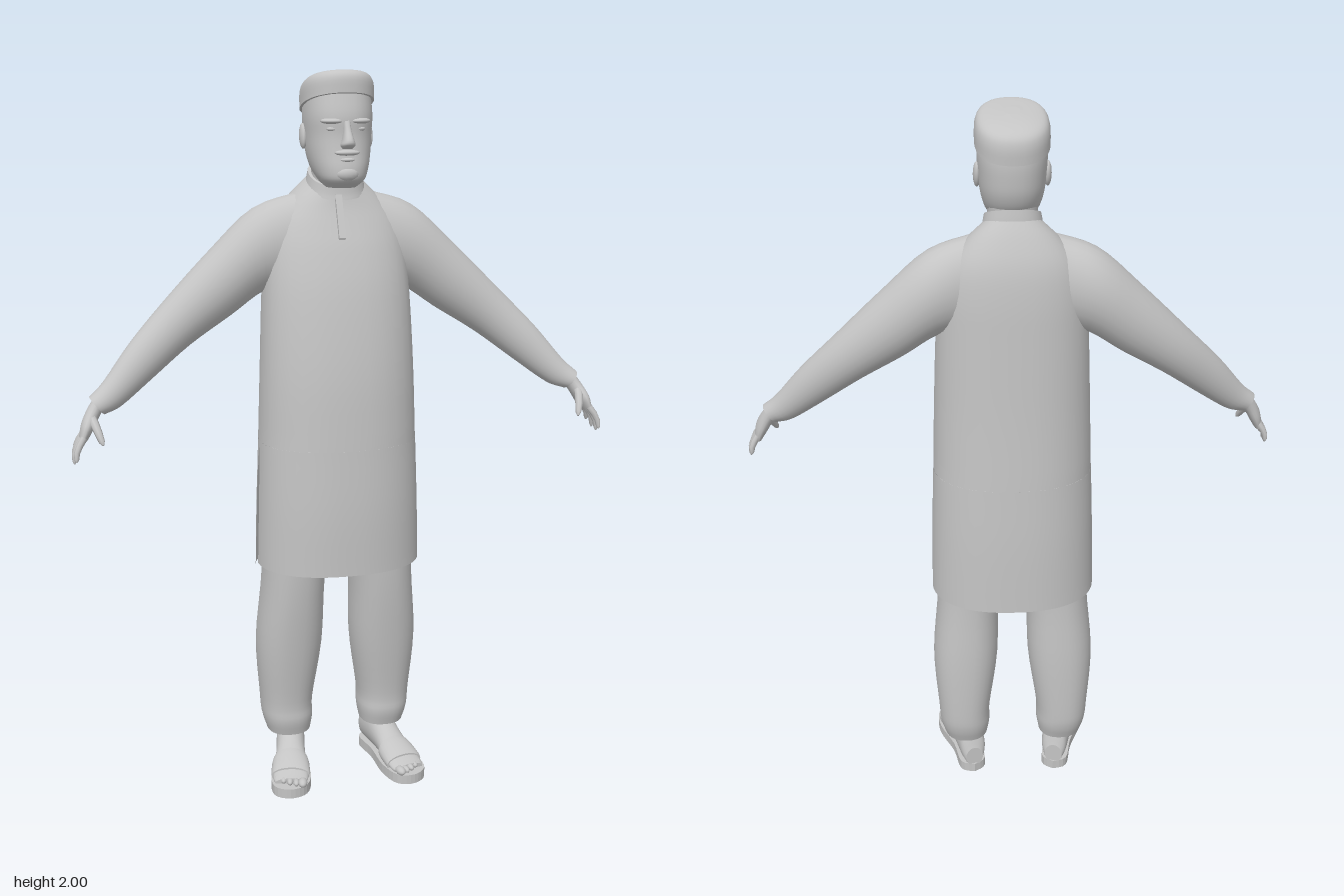
import * as THREE from 'three';

const grey = new THREE.MeshStandardMaterial({ color: 0xc4c4c4, side: THREE.DoubleSide });
grey.name = 'plain grey';

// Horizontal rounded ring; row = [y, centre x, half width, back z, front z, tilt]
function ring([y, cx, w, zb, zf, k = 0], a0 = 0, a1 = Math.PI * 2, count = 32, n = 2.3) {
  const pts = [], zc = (zb + zf) / 2, d = (zf - zb) / 2;
  const pw = v => Math.sign(v) * Math.abs(v) ** (2 / n);
  for (let i = 0; i <= count; i++) {
    const a = a0 + (a1 - a0) * i / count;
    const dz = d * pw(Math.sin(a));
    pts.push(new THREE.Vector3(cx + w * pw(Math.cos(a)), y + k * dz, zc + dz));
  }
  return pts;
}

// Smoothly resample rows of numbers
function smooth(rows, steps = 4) {
  const size = rows[0].length;
  const curve = new THREE.CubicInterpolant(rows.map((_, i) => i), rows.flat(), size, new Array(size));
  const out = [];
  for (let i = 0; i <= (rows.length - 1) * steps; i++) out.push([...curve.evaluate(i / steps)]);
  return out;
}

// Skin a list of rings, with flat end caps unless open; faces are turned outward
function loft(rings, caps = true) {
  const pos = [], idx = [], m = rings[0].length;
  rings.forEach(r => r.forEach(p => pos.push(p.x, p.y, p.z)));
  for (let j = 0; j < rings.length - 1; j++)
    for (let i = 0; i < m - 1; i++) {
      const a = j * m + i, b = a + m;
      idx.push(a, b, a + 1, a + 1, b, b + 1);
    }
  if (caps) [rings[0], rings[rings.length - 1]].forEach((r, e) => {
    const c = new THREE.Vector3(), base = pos.length / 3;
    r.slice(1).forEach(p => c.addScaledVector(p, 1 / (m - 1)));
    [c, ...r].forEach(p => pos.push(p.x, p.y, p.z));
    for (let i = 1; i < m; i++) idx.push(base, base + (e ? i + 1 : i), base + (e ? i : i + 1));
  });
  const at = i => new THREE.Vector3().fromArray(pos, i * 3);
  let volume = 0;
  for (let i = 0; i < idx.length; i += 3) volume += at(idx[i]).dot(at(idx[i + 1]).cross(at(idx[i + 2])));
  if (volume < 0) idx.reverse();
  const g = new THREE.BufferGeometry();
  g.setAttribute('position', new THREE.Float32BufferAttribute(pos, 3));
  g.setIndex(idx);
  g.computeVertexNormals();
  // Weld the shading across the ring seam
  const nor = g.attributes.normal;
  if (caps) for (let j = 0; j < rings.length; j++) {
    const a = j * m, b = a + m - 1;
    const v = new THREE.Vector3().fromBufferAttribute(nor, a)
      .add(new THREE.Vector3().fromBufferAttribute(nor, b)).normalize();
    nor.setXYZ(a, v.x, v.y, v.z);
    nor.setXYZ(b, v.x, v.y, v.z);
  }
  return g;
}

function add(parent, name, geometry) {
  const mesh = new THREE.Mesh(geometry, grey);
  mesh.name = name;
  parent.add(mesh);
  return mesh;
}

const body = (parent, name, rows, steps) => add(parent, name, loft(smooth(rows, steps).map(r => ring(r))));

function blob(parent, name, p, s) {
  const mesh = add(parent, name, new THREE.SphereGeometry(1, 14, 10));
  mesh.position.set(...p);
  mesh.scale.set(...s);
  return mesh;
}

// Ring spanned by two half axes about a centre
function oval(c, u, v, count = 24) {
  return Array.from({ length: count + 1 }, (_, i) => {
    const a = i / count * Math.PI * 2;
    return c.clone().addScaledVector(u, Math.cos(a)).addScaledVector(v, Math.sin(a));
  });
}

// Tapered finger through three points
function finger(parent, name, pts, r) {
  const curve = new THREE.CatmullRomCurve3(pts.map(p => new THREE.Vector3(...p)));
  const rings = [0, 0.3, 0.6, 0.88, 1].map((t, i) => {
    const q = r * [1, 0.95, 0.85, 0.65, 0.2][i], tan = curve.getTangent(t);
    const u = new THREE.Vector3(0, 0, 1).cross(tan).normalize();
    return oval(curve.getPoint(t), u.clone().multiplyScalar(q), tan.cross(u).multiplyScalar(q), 8);
  });
  add(parent, name, loft(rings));
}

function buildHead(root) {
  const head = new THREE.Group();
  head.name = 'head';
  root.add(head);
  body(head, 'neck', [[1.6, 0, 0.065, -0.085, 0.03], [1.7, 0, 0.064, -0.085, 0.04], [1.78, 0, 0.066, -0.095, 0.05]]);
  body(head, 'face', [[1.695, 0, 0.04, -0.02, 0.085], [1.715, 0, 0.06, -0.04, 0.115], [1.745, 0, 0.074, -0.085, 0.119],
    [1.785, 0, 0.083, -0.107, 0.112], [1.83, 0, 0.087, -0.115, 0.107], [1.88, 0, 0.09, -0.117, 0.108], [1.94, 0, 0.086, -0.108, 0.094]]);
  // Tilted brimless cap
  body(head, 'cap', [[1.905, 0, 0.096, -0.121, 0.103, 0.3], [1.945, 0, 0.095, -0.122, 0.1, 0.3],
    [1.967, 0, 0.085, -0.112, 0.084, 0.28], [1.977, 0, 0.06, -0.08, 0.058, 0.24], [1.982, 0, 0.02, -0.03, 0.015, 0.2]]);
  body(head, 'nose', [[1.797, 0, 0.013, 0.09, 0.122], [1.807, 0, 0.019, 0.09, 0.139], [1.82, 0, 0.015, 0.09, 0.14],
    [1.845, 0, 0.01, 0.09, 0.123], [1.868, 0, 0.009, 0.09, 0.11]], 3);
  blob(head, 'moustache', [0, 1.787, 0.107], [0.034, 0.008, 0.014]);
  blob(head, 'lowerLip', [0, 1.769, 0.108], [0.022, 0.006, 0.012]);
  blob(head, 'chin', [0, 1.733, 0.106], [0.032, 0.02, 0.018]);
  for (const s of [1, -1]) {
    blob(head, 'brow', [s * 0.038, 1.867, 0.092], [0.03, 0.008, 0.02]).rotation.y = s * 0.35;
    blob(head, 'eye', [s * 0.036, 1.847, 0.091], [0.016, 0.007, 0.012]);
    blob(head, 'ear', [s * 0.09, 1.825, -0.015], [0.01, 0.034, 0.02]).rotation.x = -0.2;
  }
}

function buildTunic(root) {
  const tunic = new THREE.Group();
  tunic.name = 'tunic';
  root.add(tunic);
  const waist = [1.0, 0, 0.22, -0.182, 0.168, 0];
  body(tunic, 'tunicBody', [waist, [1.2, 0, 0.213, -0.172, 0.156, 0], [1.4, 0, 0.204, -0.165, 0.126, 0],
    [1.52, 0, 0.193, -0.16, 0.095, 0], [1.6, 0, 0.17, -0.148, 0.07, -0.1], [1.66, 0, 0.125, -0.122, 0.052, -0.25],
    [1.705, 0, 0.075, -0.094, 0.042, -0.4]]);
  body(tunic, 'collar', [[1.69, 0, 0.08, -0.099, 0.05, -0.4], [1.705, 0, 0.077, -0.097, 0.047, -0.42], [1.725, 0, 0.073, -0.094, 0.045, -0.42]]);
  // Skirt panels parted by side slits
  const skirt = (name, hem, back, gap) => {
    const rows = smooth([waist, [0.82, 0, 0.227, -0.189, 0.174, 0], [hem, 0, 0.232, -0.191, 0.172, 0]]);
    add(tunic, name, loft(rows.map((r, i) => {
      const e = gap * Math.min(1, i / 4), a = back ? Math.PI : 0;
      return ring(r, a + e, a + Math.PI - e, 32);
    }), false));
  };
  skirt('frontPanel', 0.645, false, 0.05);
  skirt('backPanel', 0.622, true, 0.11);
  const placket = add(tunic, 'placket', new THREE.BoxGeometry(0.018, 0.12, 0.009));
  placket.position.set(-0.008, 1.618, 0.066);
  placket.rotation.x = -0.39;
}

function buildArm(root, s) {
  const arm = new THREE.Group();
  arm.name = s > 0 ? 'leftArm' : 'rightArm';
  root.add(arm);
  // Sleeve rows: top x, top y, bottom x, bottom y, centre z, half depth
  const sleeve = smooth([[0.09, 1.68, 0.1, 1.43, -0.038, 0.075], [0.22, 1.637, 0.195, 1.412, -0.048, 0.086],
    [0.34, 1.53, 0.29, 1.35, -0.04, 0.077], [0.47, 1.4, 0.405, 1.278, -0.02, 0.062], [0.57, 1.295, 0.51, 1.2, 0.012, 0.049],
    [0.645, 1.202, 0.6, 1.135, 0.043, 0.038], [0.685, 1.165, 0.647, 1.118, 0.058, 0.034]]);
  add(arm, 'sleeve', loft(sleeve.map(([tx, ty, bx, by, z, d]) => oval(
    new THREE.Vector3(s * (tx + bx) / 2, (ty + by) / 2, z),
    new THREE.Vector3(s * (tx - bx) / 2, (ty - by) / 2, 0), new THREE.Vector3(0, 0, d)))));
  // Palm rows: x, y, z, half thickness, half breadth
  const palm = smooth([[0.655, 1.155, 0.057, 0.018, 0.024], [0.677, 1.125, 0.068, 0.017, 0.026],
    [0.695, 1.092, 0.083, 0.016, 0.036], [0.707, 1.062, 0.09, 0.011, 0.034]], 3);
  add(arm, 'palm', loft(palm.map(([x, y, z, t, b]) => oval(new THREE.Vector3(s * x, y, z),
    new THREE.Vector3(s * t, t * 0.5, 0), new THREE.Vector3(0, 0.2 * b, b), 16))));
  const lengths = [0.048, 0.062, 0.066, 0.056];
  lengths.forEach((l, i) => {
    const z = 0.062 + i * 0.018, x = 0.706;
    finger(arm, 'finger', [[s * x, 1.07, z], [s * (x + l * 0.35), 1.07 - l * 0.55, z + (i - 1) * 0.005],
      [s * (x + l * 0.42), 1.07 - l * 1.08, z + (i - 1) * 0.009]], 0.0095);
  });
  finger(arm, 'thumb', [[s * 0.683, 1.118, 0.085], [s * 0.672, 1.09, 0.122], [s * 0.66, 1.055, 0.146]], 0.0125);
}

function buildLeg(root, s) {
  const leg = new THREE.Group();
  leg.name = s > 0 ? 'leftLeg' : 'rightLeg';
  root.add(leg);
  body(leg, 'trouserLeg', [[0.95, s * 0.105, 0.1, -0.13, 0.12], [0.62, s * 0.127, 0.088, -0.12, 0.1],
    [0.4, s * 0.139, 0.094, -0.128, 0.073], [0.22, s * 0.146, 0.076, -0.128, 0.046],
    [0.16, s * 0.144, 0.073, -0.123, 0.045], [0.115, s * 0.141, 0.063, -0.108, 0.034]]);

  // Foot and sandal point slightly outward
  const foot = new THREE.Group();
  foot.name = 'foot';
  foot.position.set(s * 0.142, 0, 0);
  foot.rotation.y = s * 0.21;
  leg.add(foot);
  // Foot rows: z, half width, top y
  const rows = smooth([[-0.108, 0.026, 0.085], [-0.085, 0.038, 0.14], [-0.02, 0.041, 0.14], [0.035, 0.042, 0.108],
    [0.09, 0.049, 0.074], [0.14, 0.05, 0.052], [0.162, 0.044, 0.044]]);
  const across = (z, w, top, low) => oval(new THREE.Vector3(0, (top + low) / 2, z),
    new THREE.Vector3(w, 0, 0), new THREE.Vector3(0, (top - low) / 2, 0));
  add(foot, 'footBody', loft(rows.map(([z, w, top]) => across(z, w, top, 0.018))));
  add(foot, 'sandalStrap', loft([[0.065, 0.05, 0.09], [0.085, 0.054, 0.084], [0.12, 0.056, 0.068], [0.13, 0.055, 0.061]]
    .map(([z, w, top]) => across(z, w, top, 0.012))));
  for (let i = 0; i < 5; i++)
    blob(foot, 'toe', [s * (-0.034 + i * 0.018), 0.036, 0.172 - i * i * 0.0022],
      i ? [0.009, 0.009, 0.018] : [0.013, 0.012, 0.021]);
  const outline = new THREE.Shape(new THREE.SplineCurve([[0, 0.113], [0.037, 0.088], [0.039, 0], [0.058, -0.1], [0.046, -0.17],
    [0, -0.197], [-0.046, -0.175], [-0.056, -0.1], [-0.04, 0], [-0.037, 0.088], [0, 0.113]]
    .map(p => new THREE.Vector2(...p))).getPoints(40));
  const sole = add(foot, 'sandalSole', new THREE.ExtrudeGeometry(outline, { depth: 0.028, bevelEnabled: false }));
  sole.rotation.x = -Math.PI / 2;
}

export function createModel() {
  const root = new THREE.Group();
  root.name = 'standingMan';
  buildHead(root);
  buildTunic(root);
  for (const s of [1, -1]) {
    buildArm(root, s);
    buildLeg(root, s);
  }
  return root;
}
